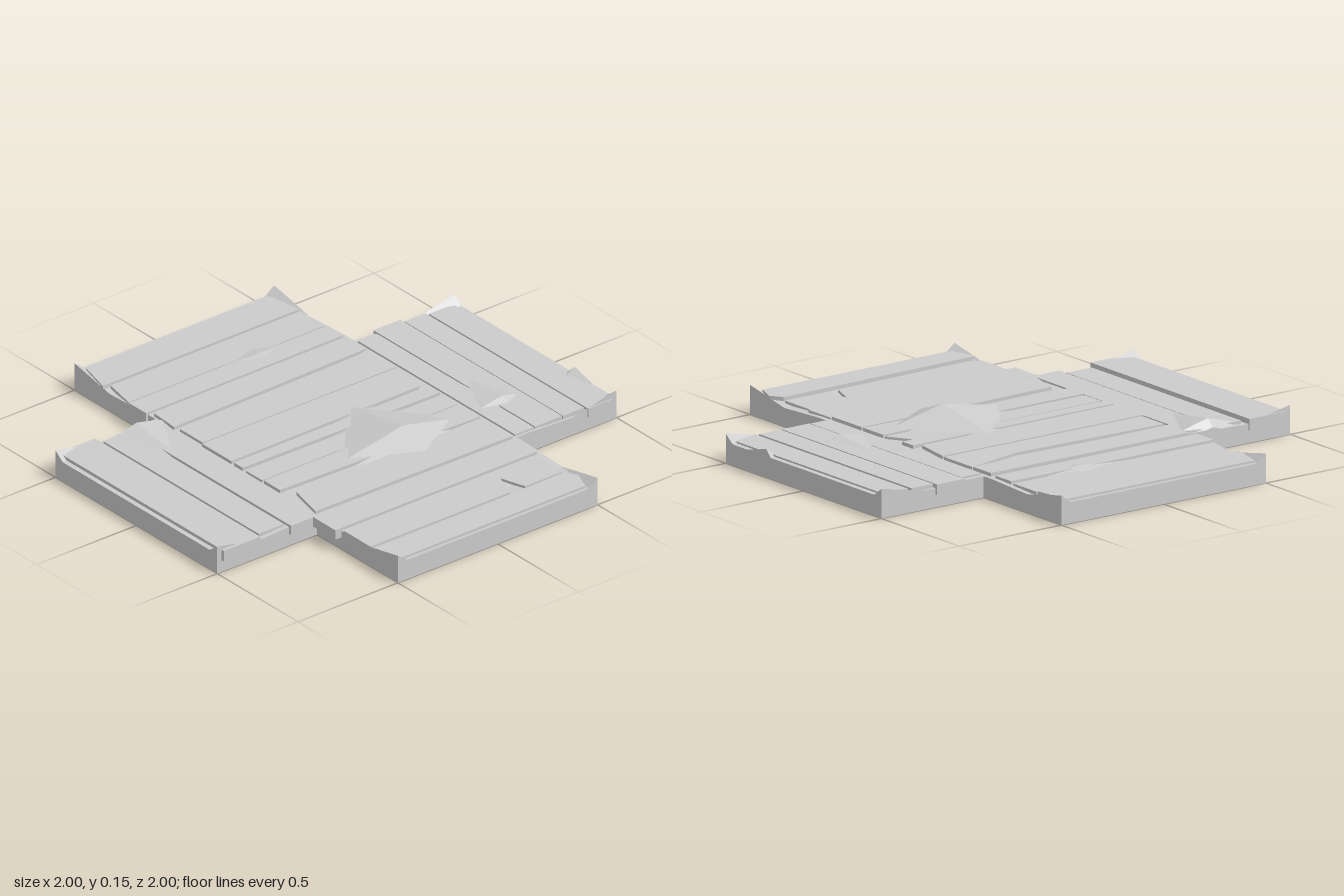
import * as THREE from 'three';

const material = new THREE.MeshStandardMaterial({ color: 0xcccccc, flatShading: true, side: THREE.DoubleSide });
const CELLS = 200, PLANK_BOTTOM = 0.052;

// Heaved spots in the ground: x, z, reach towards -x, +x, -z, +z, height
const heaves = [
  [0.14, 0.24, 0.35, 0.3, 0.4, 0.18, 0.066],
  [-0.62, -0.47, 0.17, 0.15, 0.04, 0.29, 0.041],
  [0.64, 0.24, 0.15, 0.15, 0.36, 0.06, 0.03],
  [0.14, -0.64, 0.3, 0.22, 0.12, 0.1, 0.019],
  [1.0, 0.24, 0.06, 0.06, 0.03, 0.12, 0.03],
];

function groundHeight(x, z) {
  const along = Math.max(Math.abs(x), Math.abs(z)), across = Math.min(Math.abs(x), Math.abs(z));
  let y = 0.086;
  if (along > 0.5) {
    // Arms sag slightly and curl up at their outer corners
    y -= 0.01 * Math.max(0, 1 - Math.abs(along - 0.78) / 0.22);
    y += 0.034 * Math.max(0, 1 - (1 - along) / 0.22 - (0.5 - across) / 0.045);
  }
  for (const [cx, cz, l, r, b, f, h] of heaves) {
    const dx = x - cx, dz = z - cz;
    y += h * Math.max(0, 1 - Math.abs(dx) / (dx < 0 ? l : r) - Math.abs(dz) / (dz < 0 ? b : f));
  }
  return y;
}

// Cross-shaped sheet of ground
function groundSheet() {
  const geometry = new THREE.PlaneGeometry(2, 2, CELLS, CELLS).rotateX(-Math.PI / 2);
  const p = geometry.attributes.position, source = geometry.index.array, kept = [];
  for (let i = 0; i < p.count; i++) p.setY(i, groundHeight(p.getX(i), p.getZ(i)));
  for (let i = 0; i < source.length; i += 3) {
    const tri = [source[i], source[i + 1], source[i + 2]];
    const mx = tri.reduce((sum, k) => sum + p.getX(k) / 3, 0);
    const mz = tri.reduce((sum, k) => sum + p.getZ(k) / 3, 0);
    if (Math.min(Math.abs(mx), Math.abs(mz)) < 0.5) kept.push(...tri);
  }
  geometry.setIndex(kept);
  return geometry;
}

// Upright skirt around the cross, open underneath
function skirt() {
  const outline = [
    [-0.5, 1], [0.5, 1], [0.5, 0.5], [1, 0.5], [1, -0.5], [0.5, -0.5],
    [0.5, -1], [-0.5, -1], [-0.5, -0.5], [-1, -0.5], [-1, 0.5], [-0.5, 0.5],
  ];
  const points = [], index = [];
  outline.forEach(([x0, z0], i) => {
    const [x1, z1] = outline[(i + 1) % outline.length];
    const n = Math.round(Math.hypot(x1 - x0, z1 - z0) * CELLS / 2);
    for (let k = 0; k <= n; k++) {
      const x = x0 + (x1 - x0) * k / n, z = z0 + (z1 - z0) * k / n;
      const a = points.length / 3;
      points.push(x, 0, z, x, groundHeight(x, z), z);
      if (k < n) index.push(a, a + 2, a + 3, a, a + 3, a + 1);
    }
  });
  const geometry = new THREE.BufferGeometry();
  geometry.setAttribute('position', new THREE.Float32BufferAttribute(points, 3));
  geometry.setIndex(index);
  geometry.computeVertexNormals();
  return geometry;
}

// Slab with the given plan corners [x, z]
function plank(name, corners, top) {
  const shape = new THREE.Shape(corners.map(([x, z]) => new THREE.Vector2(x, -z)));
  const geometry = new THREE.ExtrudeGeometry(shape, { depth: top - PLANK_BOTTOM, bevelEnabled: false });
  geometry.rotateX(-Math.PI / 2).translate(0, PLANK_BOTTOM, 0);
  const mesh = new THREE.Mesh(geometry, material);
  mesh.name = name;
  return mesh;
}

export function createModel() {
  const model = new THREE.Group();
  model.name = 'plankCrossing';

  const ground = new THREE.Mesh(groundSheet(), material);
  ground.name = 'ground';
  const walls = new THREE.Mesh(skirt(), material);
  walls.name = 'skirt';
  model.add(ground, walls);

  // Planks of the middle and of the front and back arms, running along x
  const crosswise = [
    ['centerPlank', [[-0.49, -0.52], [0.48, -0.52], [0.48, -0.405], [-0.5, -0.385]], 0.1],
    ['centerPlank', [[-0.49, -0.36], [0.22, -0.34], [0.48, -0.4], [0.48, -0.22], [-0.49, -0.22]], 0.098],
    ['centerPlank', [[-0.5, -0.21], [0.48, -0.21], [0.45, -0.04], [-0.5, -0.03]], 0.1],
    ['centerPlank', [[-0.5, -0.015], [0.48, -0.02], [0.48, 0.05], [-0.5, 0.04]], 0.1],
    ['centerPlank', [[-0.5, 0.06], [0.42, 0.062], [0.48, 0.16], [-0.5, 0.16]], 0.096],
    ['centerPlank', [[-0.5, 0.172], [0.48, 0.172], [0.48, 0.3], [-0.5, 0.27]], 0.1],
    ['centerPlank', [[-0.46, 0.325], [0.48, 0.31], [0.48, 0.5], [-0.5, 0.49]], 0.1],
    ['frontPlank', [[-0.53, 0.51], [0.48, 0.51], [0.48, 0.65], [-0.53, 0.65]], 0.094],
    ['frontPlank', [
      [-0.5, 0.665], [0.46, 0.665], [0.46, 0.83], [0.275, 0.83], [0.24, 0.72], [0.2, 0.83], [-0.5, 0.83],
    ], 0.088],
    ['frontPlank', [[-0.5, 0.87], [0.45, 0.85], [0.485, 0.9], [0.45, 0.985], [-0.5, 0.985]], 0.096],
    ['backPlank', [[-0.51, -0.65], [0.48, -0.65], [0.48, -0.55], [-0.51, -0.545]], 0.096],
    ['backPlank', [[-0.47, -0.815], [0.48, -0.815], [0.48, -0.665], [-0.5, -0.665]], 0.09],
    ['backPlank', [[-0.46, -0.978], [0.46, -0.978], [0.48, -0.825], [-0.5, -0.825]], 0.094],
  ];
  for (const [name, corners, top] of crosswise) model.add(plank(name, corners, top));

  // Planks of the left and right arms, running along z: name, x range, z range, top
  const lengthwise = [
    ['leftPlank', 0.5, 0.594, -0.48, 0.49, 0.094],
    ['leftPlank', 0.6, 0.735, -0.51, 0.49, 0.095],
    ['leftPlank', 0.74, 0.845, -0.49, 0.49, 0.094],
    ['leftPlank', 0.855, 0.975, -0.48, 0.505, 0.092],
    ['rightPlank', -0.64, -0.51, -0.49, 0.512, 0.093],
    ['rightPlank', -0.775, -0.65, -0.48, 0.48, 0.09],
    ['rightPlank', -0.978, -0.795, -0.508, 0.514, 0.099],
  ];
  for (const [name, x0, x1, z0, z1, top] of lengthwise)
    model.add(plank(name, [[x0, z0], [x1, z0], [x1, z1], [x0, z1]], top));
  return model;
}
